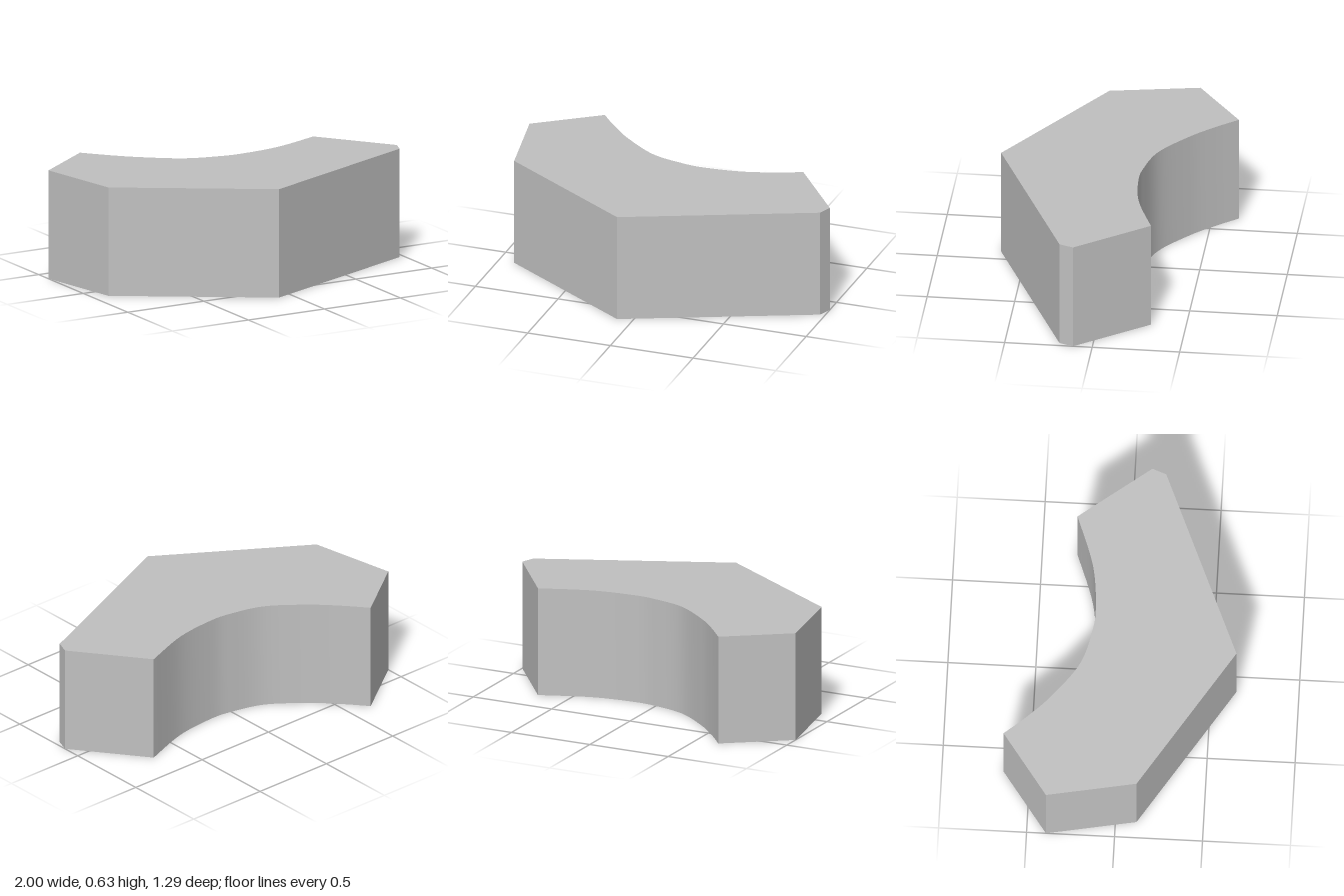
import * as THREE from 'three';
import { toCreasedNormals } from 'three/addons/utils/BufferGeometryUtils.js';

const HEIGHT = 0.635;

export function createModel() {
  const group = new THREE.Group();
  group.name = 'curvedBlock';
  const grey = new THREE.MeshStandardMaterial({ color: 0xc0c0c0 });
  grey.name = 'plain grey';

  // Plan outline, drawn as (x, z): straight facets round the front
  const outline = new THREE.Shape();
  outline.moveTo(0.69, -0.3);
  [[1, 0.11], [0.97, 0.19], [-0.09, 0.645], [-0.905, 0.12], [-1, -0.39], [-0.64, -0.65]]
    .forEach(([x, z]) => outline.lineTo(x, z));

  // Concave sweep along the back
  outline.splineThru([[-0.53, -0.52], [-0.4, -0.39], [-0.2, -0.24], [0, -0.18],
    [0.15, -0.167], [0.4, -0.197], [0.69, -0.3]].map(([x, z]) => new THREE.Vector2(x, z)));

  // Extrude the plan and lay it flat on the ground
  const solid = new THREE.ExtrudeGeometry(outline, { depth: HEIGHT, bevelEnabled: false, curveSegments: 6 });
  solid.rotateX(Math.PI / 2).translate(0, HEIGHT, 0);

  const block = new THREE.Mesh(toCreasedNormals(solid, 0.4), grey);
  block.name = 'block';
  group.add(block);
  return group;
}
